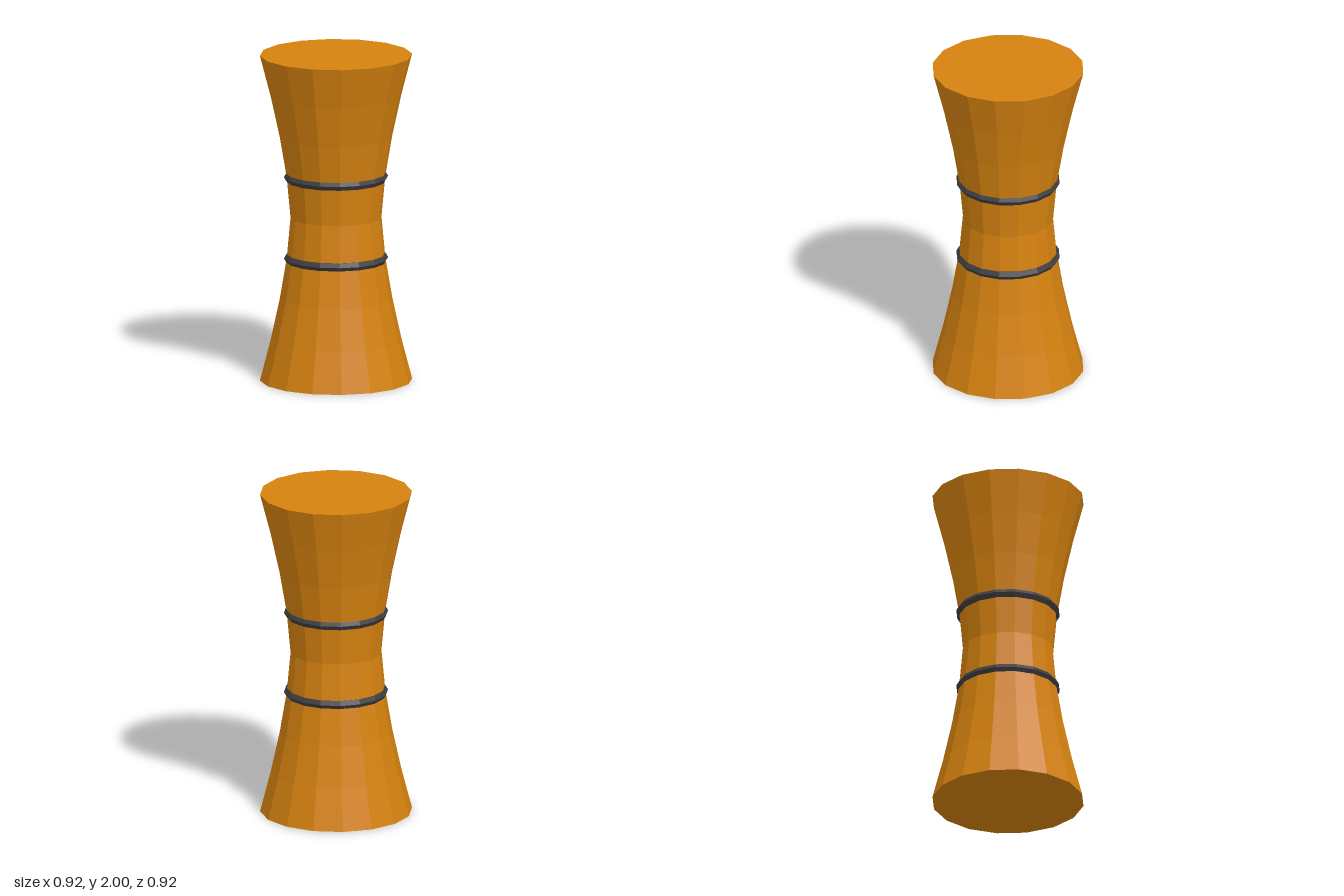
import * as THREE from 'three';

const SIDES = 16;
const WAIST = 0.275;
const RIM = 0.46;

export function createModel() {
  const model = new THREE.Group();
  model.name = 'hourglassDrum';

  const amber = new THREE.MeshStandardMaterial({ color: 0xd6820f, flatShading: true });
  amber.name = 'amber';
  const charcoal = new THREE.MeshStandardMaterial({ color: 0x3e3e42, flatShading: true });
  charcoal.name = 'charcoal';

  // Waisted body, closed at both ends
  const profile = [new THREE.Vector2(0, 0)];
  for (let i = 0; i <= 8; i++) {
    const y = i / 4;
    const radius = WAIST + (RIM - WAIST) * Math.abs(y - 1) ** 1.5;
    profile.push(new THREE.Vector2(radius, y));
  }
  profile.push(new THREE.Vector2(0, 2));
  const body = new THREE.Mesh(new THREE.LatheGeometry(profile, SIDES), amber);
  body.name = 'body';
  model.add(body);

  // Two six-sided bands around the waist
  const bandGeometry = new THREE.TorusGeometry(0.285, 0.03, 6, SIDES).rotateX(Math.PI / 2);
  for (const [name, y] of [['lowerBand', 0.75], ['upperBand', 1.25]]) {
    const band = new THREE.Mesh(bandGeometry, charcoal);
    band.name = name;
    band.position.y = y;
    model.add(band);
  }

  return model;
}
